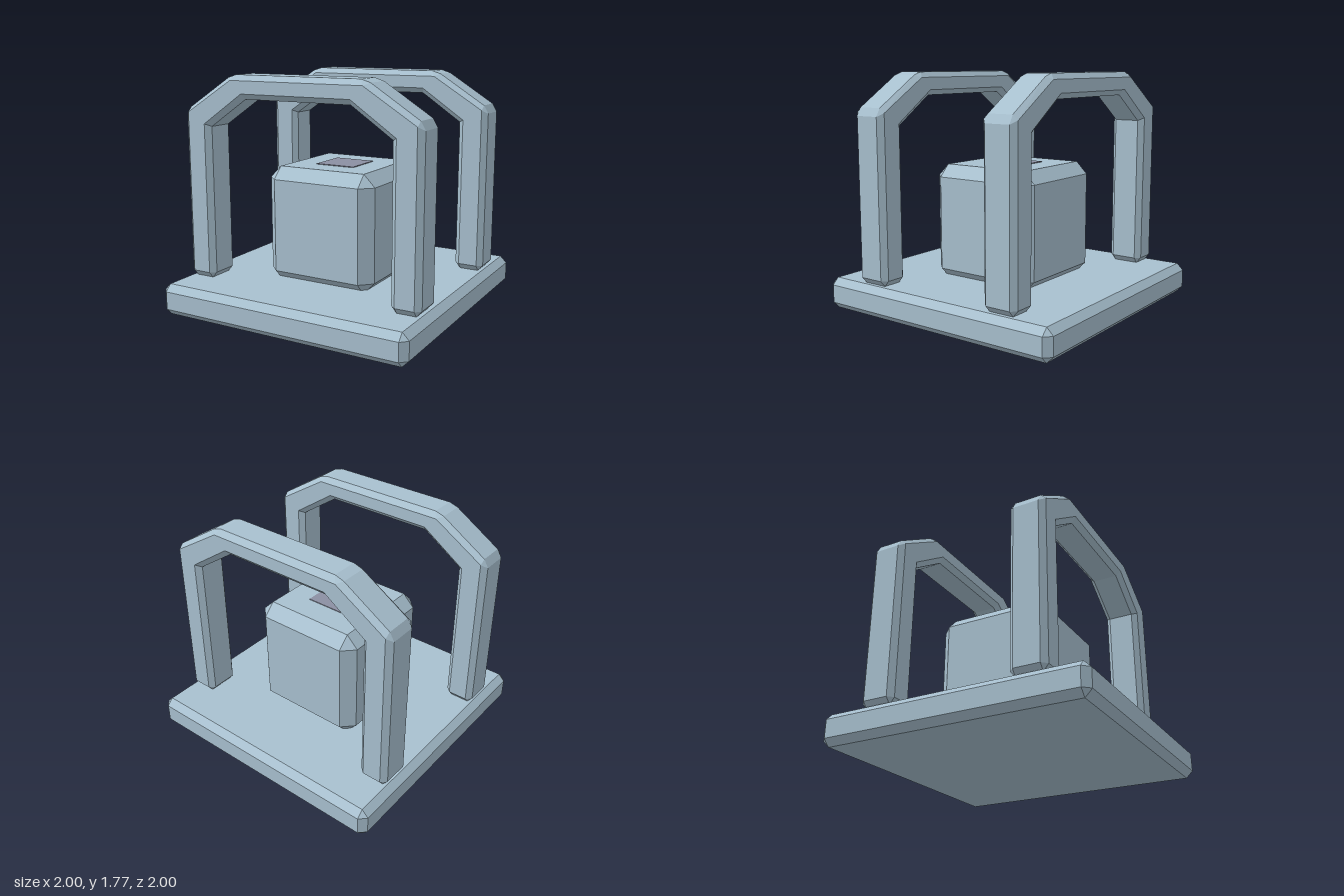
import * as THREE from 'three';

// Flat-shaded prism along z with bevelled ends: outer is the full profile (counter-clockwise),
// inner is the matching end-face profile, where points may repeat at bevelled corners.
function bevelledPrism(outer, inner, halfDepth, bevel) {
  const n = outer.length;
  const ring = (pts, z) => pts.map(([x, y]) => new THREE.Vector3(x, y, z));
  const rings = [
    ring(inner, -halfDepth), ring(outer, bevel - halfDepth),
    ring(outer, halfDepth - bevel), ring(inner, halfDepth),
  ];
  const pos = [];
  const tri = (a, b, c) => {
    const area = b.clone().sub(a).cross(c.clone().sub(a)).length();
    if (area > 1e-7) for (const v of [a, b, c]) pos.push(v.x, v.y, v.z);
  };
  for (let k = 0; k < 3; k++) {
    for (let i = 0; i < n; i++) {
      const j = (i + 1) % n;
      tri(rings[k][i], rings[k][j], rings[k + 1][j]);
      tri(rings[k][i], rings[k + 1][j], rings[k + 1][i]);
    }
  }
  // End faces
  const keep = inner.map((p, i) => i).filter((i) => {
    const p = inner[i], q = inner[(i + 1) % n];
    return Math.hypot(p[0] - q[0], p[1] - q[1]) > 1e-6;
  });
  const contour = keep.map((i) => new THREE.Vector2(...inner[i]));
  for (const [a, b, c] of THREE.ShapeUtils.triangulateShape(contour, [])) {
    tri(rings[3][keep[a]], rings[3][keep[b]], rings[3][keep[c]]);
    tri(rings[0][keep[a]], rings[0][keep[c]], rings[0][keep[b]]);
  }
  const geo = new THREE.BufferGeometry();
  geo.setAttribute('position', new THREE.Float32BufferAttribute(pos, 3));
  geo.computeVertexNormals();
  return geo;
}

// Box with every edge and corner chamfered
function chamferBox(w, h, d, c) {
  const x = w / 2, y = h / 2, xi = x - c, yi = y - c;
  const outer = [[-xi, -y], [xi, -y], [x, -yi], [x, yi], [xi, y], [-xi, y], [-x, yi], [-x, -yi]];
  const inner = outer.map(([px, py]) => [Math.sign(px) * xi, Math.sign(py) * yi]);
  return bevelledPrism(outer, inner, d / 2, c);
}

// Completes a right-half profile with its mirror image
const mirrored = (half) => [...half, ...half.map(([x, y]) => [-x, y]).reverse()];

export function createModel() {
  const model = new THREE.Group();
  const paleBlue = new THREE.MeshStandardMaterial({ color: 0xa8c0cf });
  const mauve = new THREE.MeshStandardMaterial({ color: 0x8b8fa2 });

  const add = (name, geo, mat, y = 0, z = 0) => {
    const mesh = new THREE.Mesh(geo, mat);
    mesh.name = name;
    mesh.position.set(0, y, z);
    model.add(mesh);
  };

  // Base slab, central block and the small plate on top of it
  add('base', chamferBox(2, 0.235, 2, 0.05), paleBlue, 0.1175);
  add('block', chamferBox(0.884, 0.884, 0.884, 0.09), paleBlue, 0.641);
  add('topPlate', new THREE.BoxGeometry(0.316, 0.009, 0.316), mauve, 1.084);

  // Two arched handles, front and back
  const outer = mirrored([
    [0.425, 1.6], [0.735, 1.39], [0.735, 0.28], [0.775, 0.235], [0.92, 0.235],
    [0.96, 0.28], [0.96, 1.465], [0.925, 1.525], [0.57, 1.75], [0.5, 1.772],
  ]);
  const inner = mirrored([
    [0.438, 1.64], [0.775, 1.41], [0.775, 0.28], [0.775, 0.28], [0.92, 0.28],
    [0.92, 0.28], [0.92, 1.49], [0.92, 1.49], [0.53, 1.732], [0.53, 1.732],
  ]);
  const arch = bevelledPrism(outer, inner, 0.134, 0.038);
  add('frontArch', arch, paleBlue, 0, 0.576);
  add('backArch', arch, paleBlue, 0, -0.576);

  return model;
}
